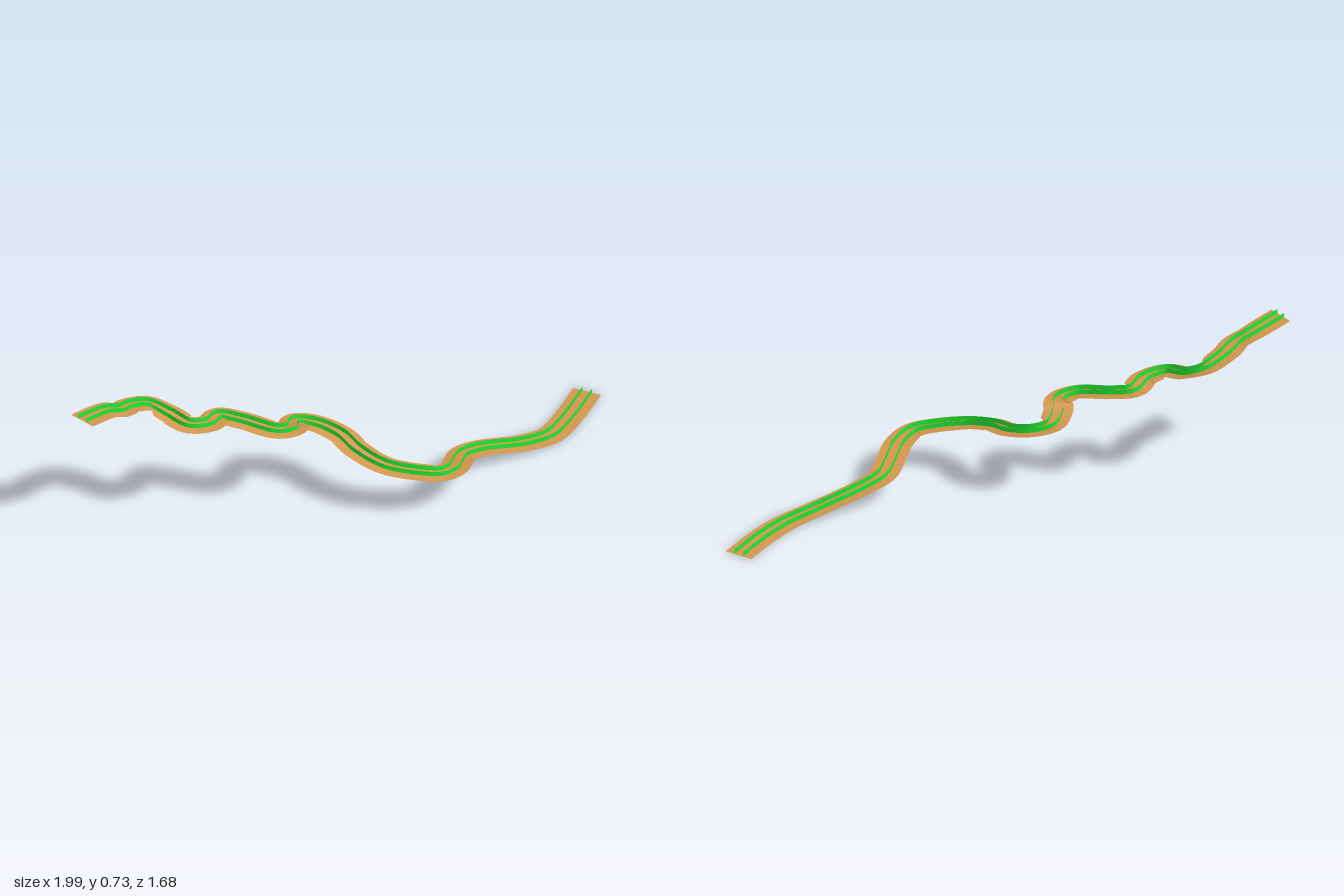
import * as THREE from 'three';

// Centre line of the track from its low end to its high end: x, y, z
const PATH = [
  [0.935, 0.003, -0.83], [0.9, 0.003, -0.65], [0.85, 0.003, -0.49], [0.763, 0.025, -0.378],
  [0.6, 0.085, -0.215], [0.543, 0.11, -0.125], [0.54, 0.143, -0.02], [0.54, 0.17, 0.065],
  [0.505, 0.195, 0.148], [0.42, 0.215, 0.19], [0.27, 0.245, 0.214], [0.14, 0.28, 0.175],
  [0.05, 0.307, 0.115], [-0.06, 0.335, 0.098], [-0.135, 0.36, 0.13], [-0.142, 0.39, 0.2],
  [-0.127, 0.418, 0.26], [-0.185, 0.435, 0.315], [-0.34, 0.465, 0.317], [-0.435, 0.485, 0.335],
  [-0.46, 0.505, 0.42], [-0.535, 0.525, 0.478], [-0.635, 0.55, 0.45], [-0.72, 0.59, 0.455],
  [-0.785, 0.632, 0.54], [-0.808, 0.655, 0.605], [-0.86, 0.683, 0.665], [-0.94, 0.713, 0.8],
];
const HALF_WIDTH = 0.065;
const RAIL_OFFSET = 0.022;
const RAIL_HEIGHT = 0.022;
const STEPS = 260;

// Ribbon between two lines, each given as [sideways offset, lift]
function ribbon(curve, a, b) {
  const positions = [], indices = [];
  for (let i = 0; i <= STEPS; i++) {
    const p = curve.getPointAt(i / STEPS);
    const t = curve.getTangentAt(i / STEPS).setY(0).normalize();
    for (const [side, lift] of [a, b]) {
      positions.push(p.x - t.z * side, p.y + lift, p.z + t.x * side);
    }
    if (i < STEPS) {
      const k = i * 2;
      indices.push(k, k + 1, k + 2, k + 1, k + 3, k + 2);
    }
  }
  const geometry = new THREE.BufferGeometry();
  geometry.setAttribute('position', new THREE.Float32BufferAttribute(positions, 3));
  geometry.setIndex(indices);
  geometry.computeVertexNormals();
  return geometry;
}

export function createModel() {
  const group = new THREE.Group();
  group.name = 'windingTrack';
  const brown = new THREE.MeshStandardMaterial({ color: 0xd2974e, side: THREE.DoubleSide });
  brown.name = 'earth brown';
  const green = new THREE.MeshStandardMaterial({ color: 0x24f536, side: THREE.DoubleSide });
  green.name = 'rail green';

  const curve = new THREE.CatmullRomCurve3(PATH.map((p) => new THREE.Vector3(...p)), false, 'centripetal');
  curve.arcLengthDivisions = 1000;

  // Level road surface
  const road = new THREE.Mesh(ribbon(curve, [-HALF_WIDTH, 0], [HALF_WIDTH, 0]), brown);
  road.name = 'roadSurface';
  group.add(road);

  // Two upright rails along the middle of the road
  for (const s of [-1, 1]) {
    const rail = new THREE.Mesh(ribbon(curve, [s * RAIL_OFFSET, 0], [s * RAIL_OFFSET, RAIL_HEIGHT]), green);
    rail.name = s < 0 ? 'railA' : 'railB';
    group.add(rail);
  }
  return group;
}
